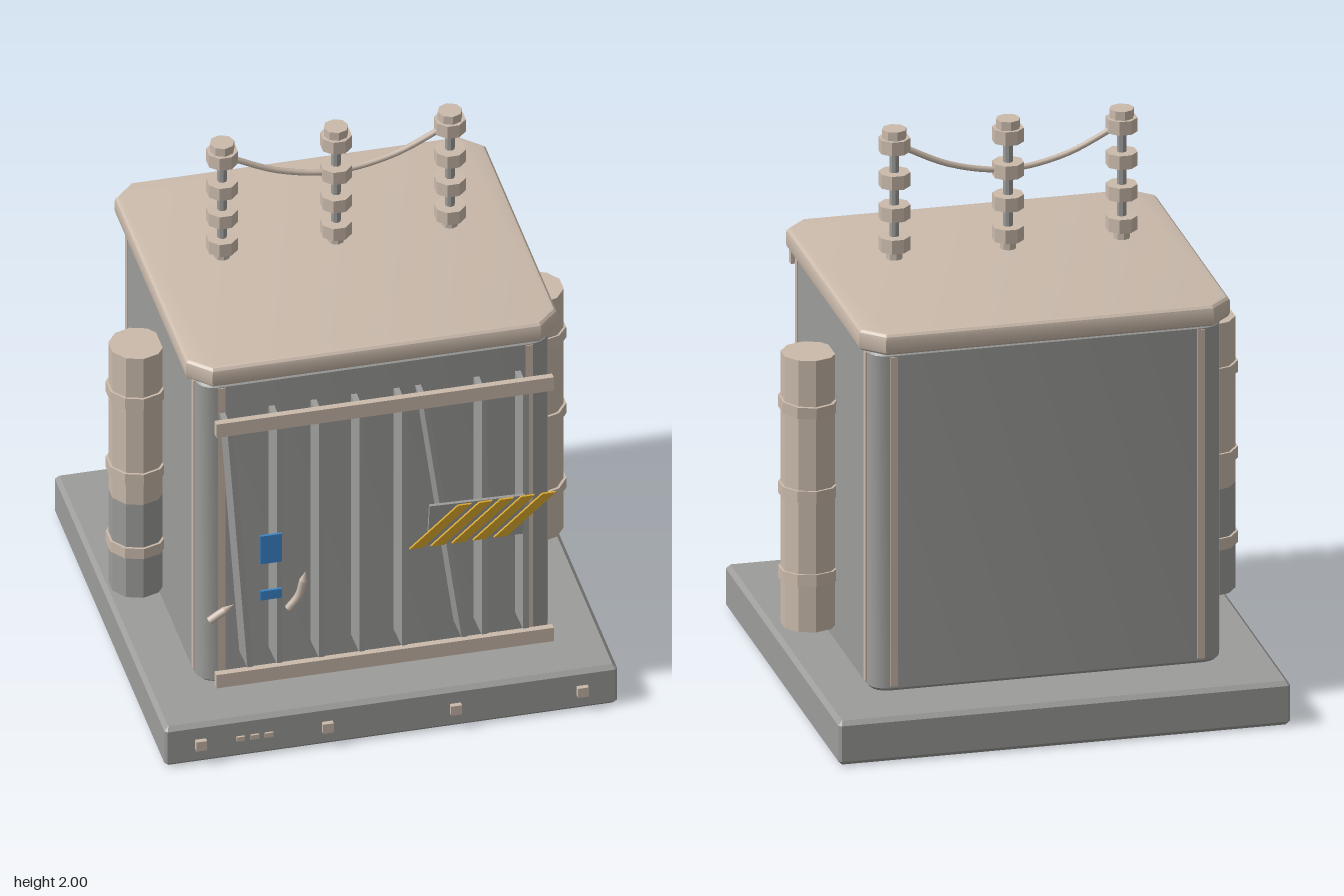
import * as THREE from 'three';
import { toCreasedNormals } from 'three/addons/utils/BufferGeometryUtils.js';

export function createModel() {
  const root = new THREE.Group();
  root.name = 'powerTransformer';
  const mat = (name, color) => {
    const m = new THREE.MeshStandardMaterial({ color });
    m.name = name;
    return m;
  };
  const grey = mat('steelGrey', 0x9c9c9a);
  const tan = mat('paleTan', 0xcabaab);
  const blue = mat('signBlue', 0x3c86cb);
  const yellow = mat('warningYellow', 0xd6a52c);
  const CZ = -0.008; // depth centre of the main parts

  const add = (name, geo, material, x = 0, y = 0, z = 0, parent = root) => {
    const m = new THREE.Mesh(geo, material);
    m.name = name;
    m.position.set(x, y, z);
    parent.add(m);
    return m;
  };
  const box = (w, h, d) => new THREE.BoxGeometry(w, h, d);
  // flat-sided solid of revolution
  const prism = (r, h, sides) => toCreasedNormals(new THREE.CylinderGeometry(r, r, h, sides), 0.3);

  // upright slab with cut or rounded corners and bevelled rims, standing on y = 0
  function slab(w, h, d, corner, bevel, round, bevelSegments = 1) {
    const a = w / 2 - bevel, b = d / 2 - bevel, c = Math.max(corner - bevel, 0.001);
    const s = new THREE.Shape();
    s.moveTo(-a + c, -b);
    const corners = [[a, -b, 0, 1], [a, b, -1, 0], [-a, b, 0, -1], [-a, -b, 1, 0]];
    corners.forEach(([x, y, ox, oy]) => {
      s.lineTo(x - oy * c, y + ox * c);
      if (round) s.quadraticCurveTo(x, y, x + ox * c, y + oy * c);
      else s.lineTo(x + ox * c, y + oy * c);
    });
    const g = new THREE.ExtrudeGeometry(s, {
      depth: h - 2 * bevel, bevelEnabled: true, bevelSize: bevel, bevelThickness: bevel,
      bevelSegments, curveSegments: 6,
    });
    g.rotateX(-Math.PI / 2).translate(0, bevel, 0);
    return toCreasedNormals(g, 0.5);
  }

  // plinth, tank and lid
  add('plinth', slab(1.59, 0.16, 1.575, 0.015, 0.015, false), grey, 0, 0, CZ);
  add('tank', slab(1.24, 1.235, 1.105, 0.08, 0.012, true), grey, 0, 0.16, CZ + 0.008);
  add('lid', slab(1.305, 0.08, 1.165, 0.085, 0.022, false, 3), tan, 0, 1.397, CZ);

  // tan trim strips either side of every tank corner
  for (const sx of [-1, 1]) for (const sz of [-1, 1]) {
    add('cornerTrimFront', box(0.026, 1.2, 0.008), tan, sx * 0.54, 0.78, sz * 0.5515);
    add('cornerTrimSide', box(0.008, 1.2, 0.026), tan, sx * 0.619, 0.78, sz * 0.474);
  }

  // bolts and small tags on the plinth front
  for (const x of [-0.67, -0.225, 0.225, 0.67]) add('plinthBolt', box(0.038, 0.038, 0.02), tan, x, 0.08, 0.787);
  for (const x of [-0.53, -0.48, -0.43]) add('plinthTag', box(0.03, 0.018, 0.008), tan, x, 0.08, 0.783);

  // cooling fins, two of them bent sideways: [centre x, lean]
  const fins = [[-0.503, -0.07], [-0.365, 0], [-0.217, 0], [-0.075, 0],
    [0.074, 0], [0.217, -0.135], [0.355, 0], [0.5, 0]];
  for (const [x, lean] of fins) {
    const g = box(0.02, 1.0, 0.13);
    const p = g.attributes.position;
    for (let i = 0; i < p.count; i++) {
      p.setX(i, p.getX(i) + lean * p.getY(i));
      // outer edge a little shorter than the root
      if (p.getZ(i) > 0) p.setY(i, p.getY(i) * 0.985);
    }
    g.computeVertexNormals();
    add('coolingFin', g, grey, x, 0.78, 0.605);
  }
  add('upperRail', box(1.185, 0.055, 0.024), tan, 0, 1.302, 0.678);
  add('lowerRail', box(1.185, 0.055, 0.024), tan, 0, 0.263, 0.678);

  // blue labels
  add('largeLabel', box(0.075, 0.115, 0.009), blue, -0.402, 0.787, 0.693);
  add('smallLabel', box(0.075, 0.037, 0.009), blue, -0.402, 0.598, 0.693);

  // warning plate with slanted stripes
  const sign = new THREE.Group();
  sign.name = 'warningSign';
  sign.position.set(0.32, 0.785, 0.687);
  sign.rotation.x = 0.06;
  root.add(sign);
  const plate = add('warningPlate', box(0.335, 0.165, 0.012), grey, 0, 0, 0, sign);
  plate.rotation.z = -0.03;
  for (let i = 0; i < 5; i++) {
    const x = -0.235 + i * 0.074;
    const s = new THREE.Shape([[x, -0.08], [x + 0.047, -0.08], [x + 0.215, 0.08], [x + 0.168, 0.08]]
      .map(([u, v]) => new THREE.Vector2(u, v)));
    add('warningStripe', new THREE.ExtrudeGeometry(s, { depth: 0.008, bevelEnabled: false }),
      yellow, 0, 0, 0.007, sign);
  }

  // torn cable ends between the fins
  const tube = (pts, r, sides, steps) => new THREE.TubeGeometry(
    new THREE.CatmullRomCurve3(pts.map(p => new THREE.Vector3(...p))), steps, r, sides);
  const torn = (pts) => {
    add('looseCable', tube(pts, 0.014, 6, 5), tan);
    const dir = new THREE.Vector3(...pts[2]).sub(new THREE.Vector3(...pts[1])).normalize();
    const tip = add('looseCableTip', new THREE.ConeGeometry(0.014, 0.04, 6), tan,
      ...new THREE.Vector3(...pts[2]).addScaledVector(dir, 0.019).toArray());
    tip.quaternion.setFromUnitVectors(new THREE.Vector3(0, 1, 0), dir);
  };
  torn([[-0.595, 0.455, 0.6], [-0.565, 0.475, 0.6], [-0.54, 0.49, 0.6]]);
  torn([[-0.315, 0.455, 0.59], [-0.28, 0.505, 0.595], [-0.265, 0.57, 0.6]]);

  // banded side pipes; the lower part of one is bare
  for (const sx of [-1, 1]) {
    const pipe = new THREE.Group();
    pipe.name = sx > 0 ? 'leftPipe' : 'rightPipe';
    pipe.position.set(sx * 0.7, 0, CZ);
    root.add(pipe);
    if (sx > 0) add('pipeBody', prism(0.097, 0.99, 10), tan, 0, 0.72, 0, pipe);
    else {
      add('pipeUpper', prism(0.097, 0.605, 10), tan, 0, 0.9125, 0, pipe);
      add('pipeLower', prism(0.097, 0.385, 10), grey, 0, 0.4175, 0, pipe);
    }
    [0.412, 0.72, 1.033].forEach((y, i) => {
      const band = add('pipeBand', prism(0.106, 0.042, 10), tan, 0, y, 0, pipe);
      if (sx > 0) band.rotation.x = [0.04, 0, -0.08][i];
    });
  }

  // insulator stacks
  for (const x of [-0.4, 0, 0.4]) {
    const stack = new THREE.Group();
    stack.name = 'insulator';
    stack.position.set(x, 0, CZ);
    root.add(stack);
    add('insulatorRod', prism(0.017, 0.46, 8), grey, 0, 1.76, 0, stack);
    add('insulatorFoot', prism(0.029, 0.04, 8), tan, 0, 1.548, 0, stack);
    for (const y of [1.585, 1.7, 1.818, 1.943]) {
      const disc = add('insulatorDisc', prism(0.055, 0.05, 8), tan, 0, y, 0, stack);
      disc.rotation.y = Math.PI / 8;
    }
    add('insulatorCap', prism(0.043, 0.04, 8), tan, 0, 1.98, 0, stack);
  }

  // sagging line strung across the stacks
  add('sagLine', tube([[-0.4, 1.945, CZ], [-0.2, 1.85, CZ], [0, 1.815, CZ], [0.2, 1.85, CZ], [0.4, 1.945, CZ]],
    0.011, 8, 24), tan);

  return root;
}
